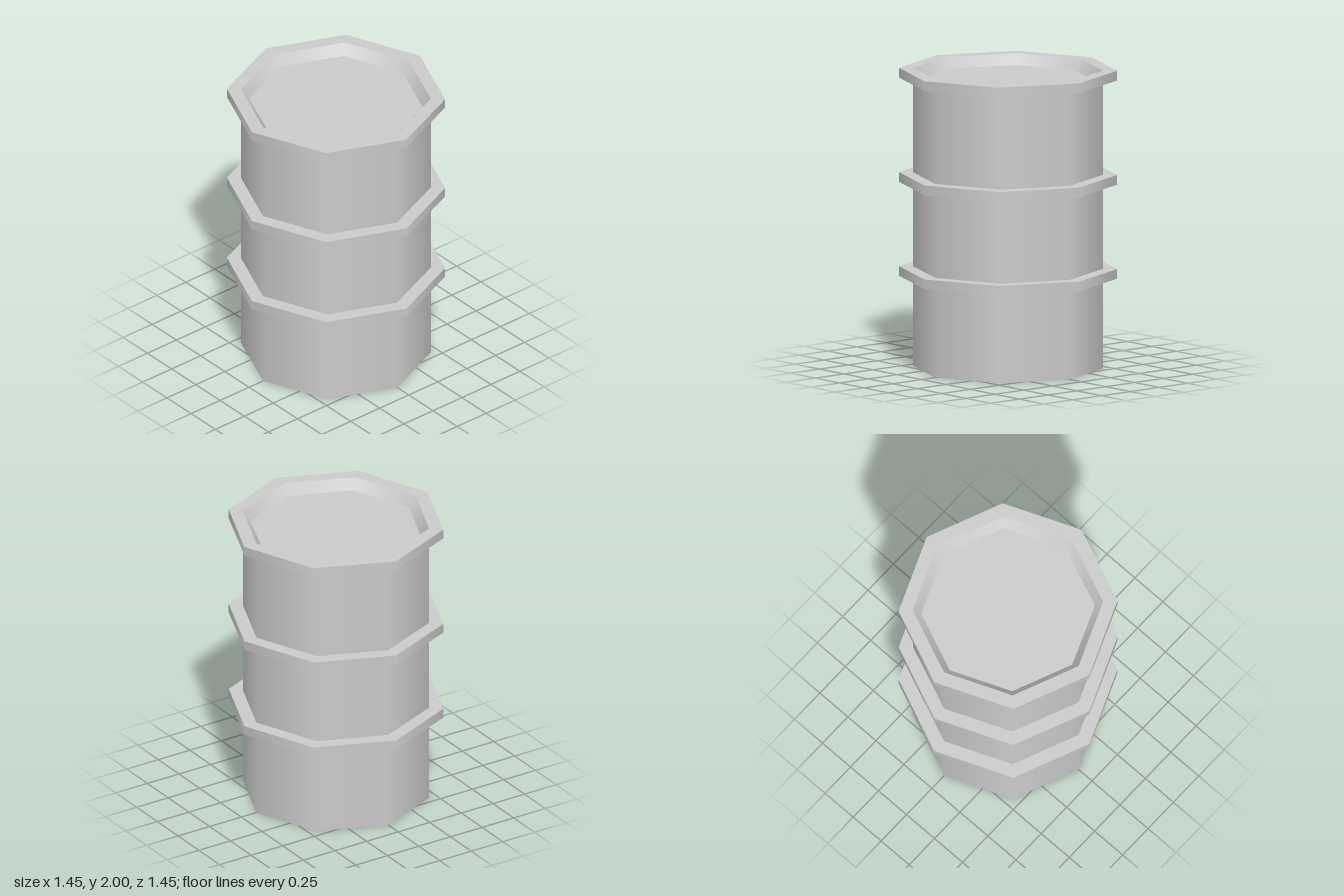
import * as THREE from 'three';
import { mergeGeometries } from 'three/addons/utils/BufferGeometryUtils.js';

const SIDES = 8;
const BODY_R = 0.63, HOOP_R = 0.725, LID_R = 0.575;
const HOOP_H = 0.065, TOP = 2, LID_Y = 1.93;

const material = new THREE.MeshStandardMaterial({ color: 0xcccccc });

// Revolves [radius, y] points: smooth around the drum, sharp between profile segments
function revolve(name, profile) {
  const bands = [];
  for (let i = 0; i < profile.length - 1; i++) {
    const points = [profile[i], profile[i + 1]].map(([r, y]) => new THREE.Vector2(r, y));
    bands.push(new THREE.LatheGeometry(points, SIDES));
  }
  const mesh = new THREE.Mesh(mergeGeometries(bands), material);
  mesh.name = name;
  return mesh;
}

export function createModel() {
  const drum = new THREE.Group();
  drum.name = 'drum';

  // Flat base and straight wall
  drum.add(revolve('body', [[0, 0], [BODY_R, 0], [BODY_R, TOP - HOOP_H]]));

  // Two hoops around the wall
  [['lowerHoop', 0.604], ['upperHoop', 1.235]].forEach(([name, y]) => {
    drum.add(revolve(name, [
      [BODY_R, y], [HOOP_R, y], [HOOP_R, y + HOOP_H], [BODY_R, y + HOOP_H],
    ]));
  });

  // Top rim with a sloping inner wall
  drum.add(revolve('rim', [
    [BODY_R, TOP - HOOP_H], [HOOP_R, TOP - HOOP_H], [HOOP_R, TOP],
    [BODY_R, TOP], [LID_R, LID_Y],
  ]));

  // Sunken lid
  drum.add(revolve('lid', [[LID_R, LID_Y], [0, LID_Y]]));

  return drum;
}
